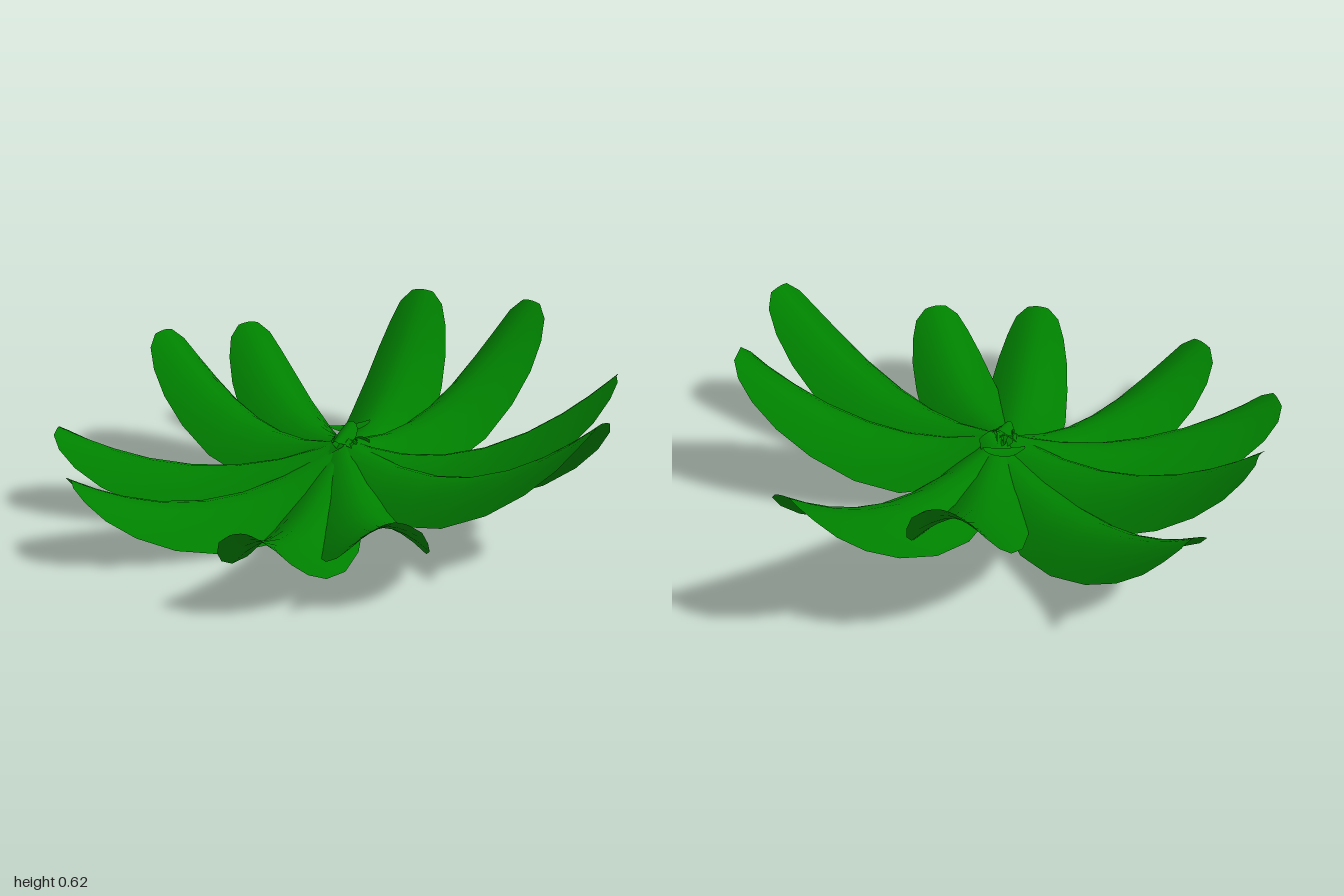
import * as THREE from 'three';

const leafMaterial = new THREE.MeshStandardMaterial({ color: 0x008000, side: THREE.DoubleSide });

// Outline along a leaf: [fraction of length, half width, droop of the edges]
const OUTLINE = [
  [0, 0.04, 0.02], [0.12, 0.095, 0.065], [0.25, 0.14, 0.11], [0.4, 0.168, 0.13], [0.55, 0.173, 0.125],
  [0.7, 0.162, 0.11], [0.82, 0.145, 0.09], [0.91, 0.12, 0.065], [0.97, 0.09, 0.035], [1, 0.045, 0.012],
];
const ACROSS = 8;

// Arched blade that dips from its base, then sweeps up to the tip
function makeLeaf(name, [bx, by, bz], [tx, ty, tz], bend, scale = 1) {
  const length = Math.hypot(tx - bx, tz - bz);
  const dx = (tx - bx) / length, dz = (tz - bz) / length;
  const slope = ty - by - bend;
  const positions = [], index = [];
  OUTLINE.forEach(([t, half, droop], i) => {
    const y = by + slope * t + bend * t * t;
    const angle = Math.atan2(slope + 2 * bend * t, length);
    for (let j = 0; j <= ACROSS; j++) {
      const u = (j / ACROSS) * 2 - 1;
      const side = u * half * scale;
      const drop = droop * scale * Math.pow(Math.abs(u), 1.7);
      const r = length * t + drop * Math.sin(angle) * 0.6;
      positions.push(bx + dx * r - dz * side, y - drop * Math.cos(angle), bz + dz * r + dx * side);
      if (i > 0 && j > 0) {
        const d = i * (ACROSS + 1) + j, c = d - 1, b = d - ACROSS - 1, a = b - 1;
        index.push(a, b, c, b, d, c);
      }
    }
  });
  const geometry = new THREE.BufferGeometry();
  geometry.setAttribute('position', new THREE.Float32BufferAttribute(positions, 3));
  geometry.setIndex(index);
  geometry.computeVertexNormals();
  const mesh = new THREE.Mesh(geometry, leafMaterial);
  mesh.name = name;
  return mesh;
}

export function createModel() {
  const plant = new THREE.Group();
  plant.name = 'leafRosette';

  // Large leaves, clockwise from the back: [base x, base z, tip x, tip y, tip z, bend]
  const leaves = [
    [0.05, 0.03, 0.035, 0.47, -0.98, 0.67],
    [0, 0.02, 0.66, 0.63, -0.59, 0.7],
    [-0.02, 0.01, 0.98, 0.62, -0.27, 0.7],
    [-0.02, -0.02, 0.72, 0.59, 0.6, 0.68],
    [0, -0.03, 0.38, 0.59, 0.95, 0.7],
    [0.01, -0.02, -0.25, 0.35, 0.83, 0.55],
    [0.02, -0.02, -0.635, 0.31, 0.63, 0.66],
    [0.03, 0, -0.99, 0.31, 0.01, 0.65],
    [0.03, 0.01, -0.92, 0.32, -0.46, 0.54],
    [0.01, 0.03, -0.38, 0.52, -0.85, 0.65],
  ];
  leaves.forEach(([bx, bz, tx, ty, tz, bend], i) => {
    plant.add(makeLeaf(`leaf${i + 1}`, [bx, 0.29, bz], [tx, ty, tz], bend));
  });

  // Small young leaves at the heart
  plant.add(makeLeaf('youngLeafBack', [0, 0.29, -0.12], [0.14, 0.31, -0.06], 0.03, 0.14));
  plant.add(makeLeaf('youngLeafFront', [-0.05, 0.29, 0.04], [0.05, 0.33, -0.03], 0.02, 0.22));

  return plant;
}
